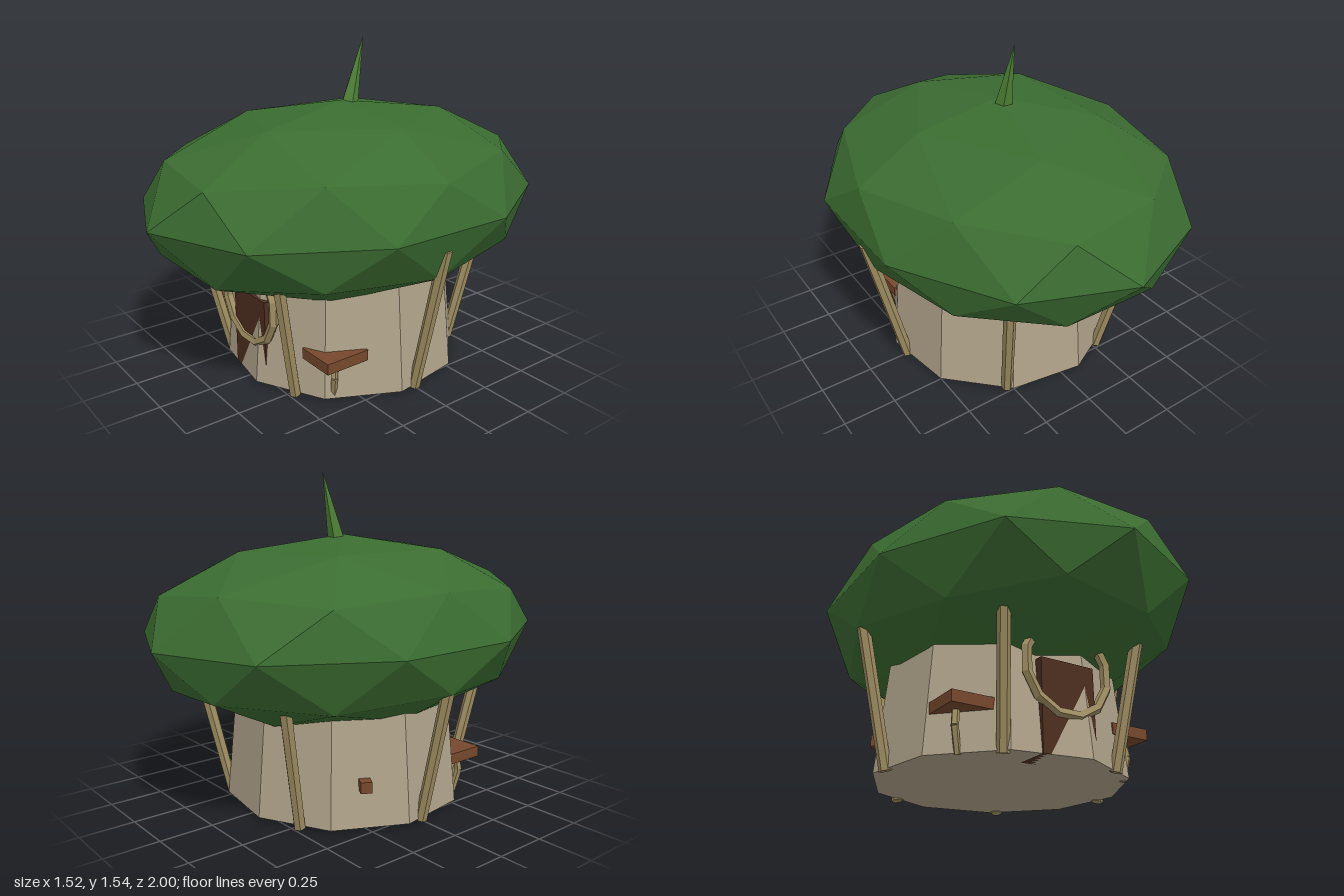
import * as THREE from 'three';

const mat = (name, color) => {
  const m = new THREE.MeshStandardMaterial({ color, flatShading: true });
  m.name = name;
  return m;
};

export function createModel() {
  const leaf = mat('leaf green', 0x3b6c31);
  const sprout = mat('sprout green', 0x4f8236);
  const plaster = mat('plaster', 0xb0a38a);
  const wood = mat('pale wood', 0xa08f62);
  const board = mat('board brown', 0x76482c);
  const doorBrown = mat('door brown', 0x4e2f20);

  const group = new THREE.Group();
  const add = (name, geometry, material, x = 0, y = 0, z = 0) => {
    const mesh = new THREE.Mesh(geometry, material);
    mesh.name = name;
    mesh.position.set(x, y, z);
    group.add(mesh);
    return mesh;
  };

  // Straight tapered stick between two points
  const up = new THREE.Vector3(0, 1, 0);
  const stick = (name, a, b, rA, rB, sides, material) => {
    const dir = b.clone().sub(a);
    const mesh = add(name, new THREE.CylinderGeometry(rB, rA, dir.length(), sides), material);
    mesh.position.copy(a).add(b).multiplyScalar(0.5);
    mesh.quaternion.setFromUnitVectors(up, dir.normalize());
    return mesh;
  };
  const v = (x, y, z) => new THREE.Vector3(x, y, z);

  // Canopy: faceted ball with a vertex at the top, flattened
  const canopy = new THREE.IcosahedronGeometry(1, 1);
  canopy.rotateZ(-Math.atan(2 / (1 + Math.sqrt(5))));
  canopy.scale(0.8, 0.44, 1);
  add('canopy', canopy, leaf, 0, 0.81, 0);

  // Sprout leaning back from the crown
  stick('sprout', v(0, 1.2, -0.035), v(0, 1.54, -0.125), 0.046, 0, 5, sprout);

  // Ten-sided tapered hut wall
  const wall = new THREE.CylinderGeometry(0.515, 0.57, 0.585, 10);
  wall.rotateY(THREE.MathUtils.degToRad(9));
  add('wall', wall, plaster, 0, 0.3075, 0);

  // Door, partly sunk in the sloping wall
  add('door', new THREE.BoxGeometry(0.26, 0.4, 0.16), doorBrown, 0, 0.215, 0.454);

  // Wooden ring around the doorway
  const ring = new THREE.TorusGeometry(0.205, 0.023, 5, 12);
  ring.rotateZ(Math.PI / 12);
  add('doorRing', ring, wood, 0, 0.39, 0.53);

  // Six leaning posts carrying the canopy
  for (let i = 0; i < 6; i++) {
    const a = Math.PI / 6 + (i * Math.PI) / 3;
    const s = Math.sin(a), c = Math.cos(a);
    stick('post', v(0.545 * s, 0.007, 0.545 * c), v(0.711 * s, 0.72, 0.711 * c), 0.027, 0.029, 6, wood);
  }

  // Corner shelves with bent brackets below
  for (const side of [-1, 1]) {
    add('shelf', new THREE.BoxGeometry(0.19, 0.05, 0.22), board, side * 0.39, 0.21, 0.335);
    const top = v(side * 0.42, 0.19, 0.36);
    const knee = v(side * 0.428, 0.12, 0.37);
    const foot = v(side * 0.405, 0.01, 0.355);
    stick('bracketFoot', foot, knee, 0.014, 0.017, 5, wood);
    stick('bracketTop', knee, top, 0.017, 0.017, 5, wood);
  }

  // Small peg on the rear wall
  const peg = add('peg', new THREE.BoxGeometry(0.05, 0.05, 0.08), board, -0.465, 0.21, -0.265);
  peg.rotation.y = Math.PI / 3;

  return group;
}
